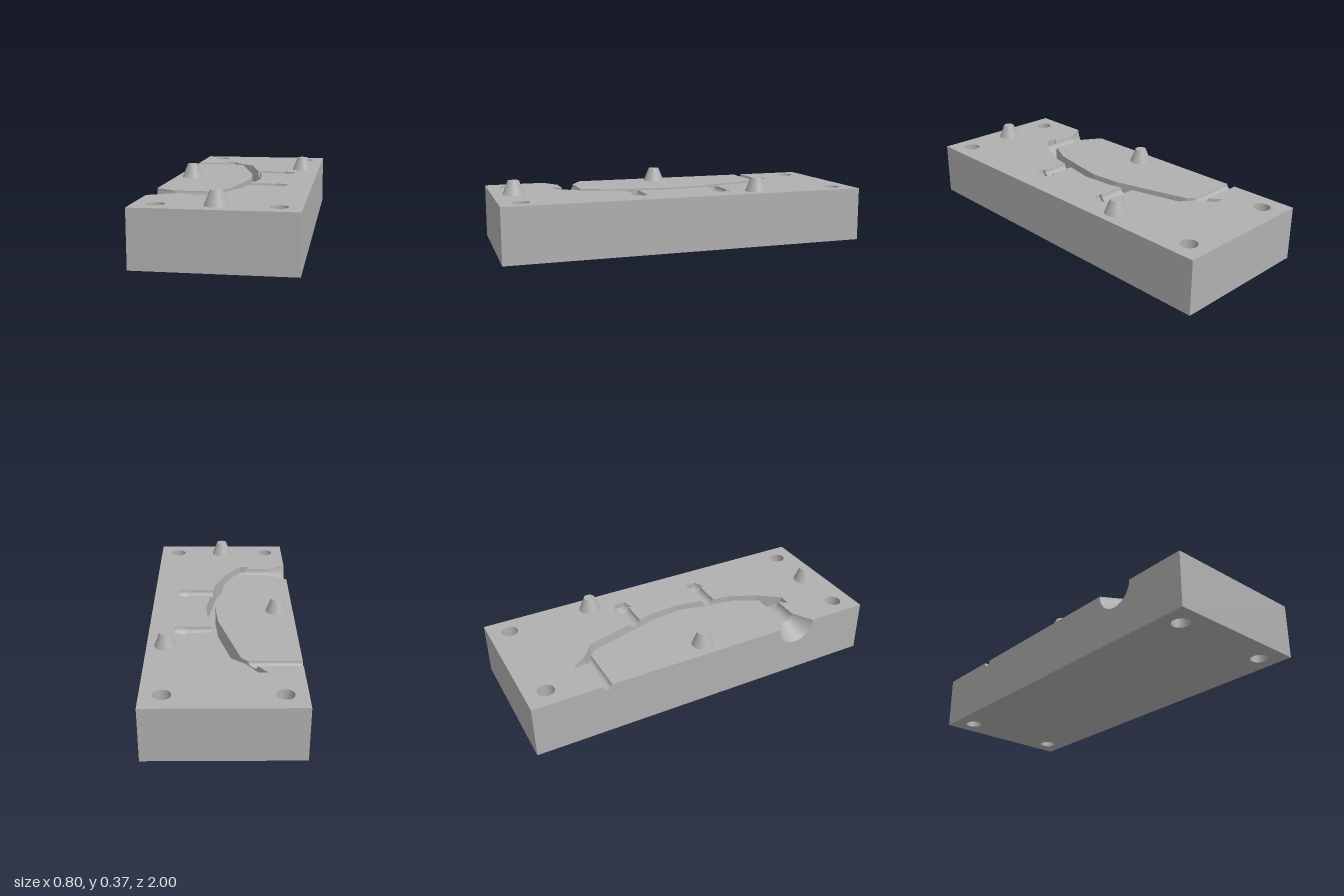
import * as THREE from 'three';

const H = 0.295, W = 0.4, L = 1;

// Curved cavity: left edge x, right edge x, z, depth below the parting face
const SECTIONS = [
  [-0.22, -0.17, -0.685, 0.01], [-0.15, -0.11, -0.6, 0.06], [-0.09, -0.03, -0.54, 0.1],
  [0.026, 0.08, -0.13, 0.1], [0.042, 0.095, 0.04, 0.1], [-0.016, 0.037, 0.37, 0.1],
  [-0.09, -0.03, 0.52, 0.1], [-0.185, -0.116, 0.64, 0.04],
];
const INNER = 0, OUTER = 1, DEPTH = 3;
const GATE = { z: 0.55, r: 0.045 }, VENT = { z: -0.6, r: 0.025 };
const PINS = [{ z: -0.235, r: 0.033 }, { z: 0.24, r: 0.033 }];
const BOLTS = [[-0.29, -0.885], [0.29, -0.885], [-0.29, 0.885], [0.29, 0.885]];
const BOLT_R = 0.045;

// Interpolates one column of the cavity table along z
function at(col, z) {
  let i = 0;
  while (i < SECTIONS.length - 2 && z > SECTIONS[i + 1][2]) i++;
  const a = SECTIONS[i], b = SECTIONS[i + 1];
  return a[col] + (b[col] - a[col]) * (z - a[2]) / (b[2] - a[2]);
}

// Flat-faced band between two rows of points
function ribbon(a, b) {
  const p = [];
  for (let i = 0; i < a.length - 1; i++) {
    p.push(...a[i], ...a[i + 1], ...b[i + 1], ...a[i], ...b[i + 1], ...b[i]);
  }
  const g = new THREE.BufferGeometry();
  g.setAttribute('position', new THREE.Float32BufferAttribute(p, 3));
  g.computeVertexNormals();
  return g;
}

function flatShape(points, sign, holes) {
  const shape = new THREE.Shape(points.map(([x, z]) => new THREE.Vector2(x, z * sign)));
  for (const [x, z] of holes) {
    shape.holes.push(new THREE.Path().absarc(x, z * sign, BOLT_R, 0, Math.PI * 2, true));
  }
  return new THREE.ShapeGeometry(shape, 24).rotateX(sign * Math.PI / 2);
}

// Half-round groove segment along x; the ring at x = snap follows a cavity edge
function groove(x0, r0, x1, r1, z, snap, col) {
  const g = new THREE.LatheGeometry(
    [new THREE.Vector2(r0, x0), new THREE.Vector2(r1, x1)], 24, 0, Math.PI);
  g.rotateZ(-Math.PI / 2).translate(0, H, z);
  if (snap !== undefined) {
    const p = g.attributes.position;
    for (let i = 0; i < p.count; i++) {
      if (Math.abs(p.getX(i) - snap) < 1e-5) p.setX(i, at(col, p.getZ(i)));
    }
  }
  return g;
}

// Cavity side wall with half-round openings where grooves enter
function cavityWall(col, mouths) {
  const zs = SECTIONS.map((s) => s[2]);
  for (const m of mouths) {
    for (let k = 0; k <= 16; k++) zs.push(m.z + m.r * Math.cos(k * Math.PI / 16));
  }
  zs.sort((a, b) => a - b);
  const top = [], bottom = [];
  for (const z of zs) {
    const floor = H - at(DEPTH, z);
    let y = H;
    for (const m of mouths) y -= Math.sqrt(Math.max(0, m.r ** 2 - (z - m.z) ** 2));
    top.push([at(col, z), Math.max(y, floor), z]);
    bottom.push([at(col, z), floor, z]);
  }
  return ribbon(bottom, top);
}

export function createModel() {
  const model = new THREE.Group();
  model.name = 'mouldHalf';
  const grey = new THREE.MeshStandardMaterial({ color: 0xb0b0b0, side: THREE.DoubleSide });
  grey.name = 'grey';
  const add = (name, geometry) => {
    const mesh = new THREE.Mesh(geometry, grey);
    mesh.name = name;
    model.add(mesh);
    return mesh;
  };

  // Parting face outside the cavity
  const pt = (col, i) => [SECTIONS[i][col], SECTIONS[i][2]];
  const edge = (col, z) => [at(col, z), z];
  const right = SECTIONS.map((s, i) => pt(OUTER, i));
  for (const { z, r } of PINS) {
    right.push(edge(OUTER, z - r), [0.205, z - r + 1e-5], [0.205, z - 0.052 + 2e-5]);
    right.push([0.265, z - 0.03], [0.265, z + 0.03]);
    right.push([0.205, z + 0.052], [0.205, z + r], edge(OUTER, z + r));
  }
  // Keep each pin outline in order while walking along the cavity edge
  const edgePoints = SECTIONS.map((s, i) => ({ z: s[2], pts: [pt(OUTER, i)] }));
  PINS.forEach(({ z }, i) => edgePoints.push({ z, pts: right.slice(8 + i * 8, 16 + i * 8) }));
  edgePoints.sort((a, b) => a.z - b.z);
  const walk = edgePoints.flatMap((e) => e.pts).reverse();
  const outside = [
    [-W, -L], [W, -L], [W, L], [-W, L], [-W, 0.66], [-0.29, GATE.z + GATE.r],
    edge(INNER, GATE.z + GATE.r), pt(INNER, 7), ...walk, pt(INNER, 0),
    edge(INNER, VENT.z - VENT.r), [-W, VENT.z - VENT.r],
  ];
  add('partingFace', flatShape(outside, -1, BOLTS)).position.y = H;

  // Raised face between cavity, vent and gate
  const island = [
    [-W, VENT.z + VENT.r], edge(INNER, VENT.z + VENT.r),
    ...[2, 3, 4, 5].map((i) => pt(INNER, i)),
    edge(INNER, GATE.z - GATE.r), [-0.29, GATE.z - GATE.r], [-W, 0.44],
  ];
  add('innerFace', flatShape(island, -1, [])).position.y = H;

  // Underside and plain block sides
  add('underside', flatShape([[-W, -L], [W, -L], [W, L], [-W, L]], 1, BOLTS));
  const rim = [[-W, L], [W, L], [W, -L], [-W, -L]];
  add('blockSides', ribbon(rim.map(([x, z]) => [x, 0, z]), rim.map(([x, z]) => [x, H, z])));

  // Side with the gate and vent openings
  const side = [[-L, 0], [L, 0], [L, H]];
  for (const [z, r] of [[GATE.z, 0.11], [VENT.z, VENT.r]]) {
    for (let k = 0; k <= 24; k++) {
      const a = k * Math.PI / 24;
      side.push([z + r * Math.cos(a), H - r * Math.sin(a)]);
    }
  }
  side.push([-L, H]);
  const sideShape = new THREE.Shape(side.map(([z, y]) => new THREE.Vector2(z, y)));
  add('openSide', new THREE.ShapeGeometry(sideShape).rotateY(-Math.PI / 2).translate(-W, 0, 0));

  // Curved cavity: walls, floor and ends
  add('cavityInnerWall', cavityWall(INNER, [GATE, VENT]));
  add('cavityOuterWall', cavityWall(OUTER, PINS));
  const row = (col) => SECTIONS.map((s) => [s[col], H - s[DEPTH], s[2]]);
  add('cavityFloor', ribbon(row(INNER), row(OUTER)));
  for (const s of [SECTIONS[0], SECTIONS[7]]) {
    add('cavityEnd', ribbon(
      [[s[0], H - s[3], s[2]], [s[1], H - s[3], s[2]]], [[s[0], H, s[2]], [s[1], H, s[2]]]));
  }

  // Pouring gate and vent
  add('gateFunnel', groove(-W, 0.11, -0.29, GATE.r, GATE.z));
  add('gateChannel', groove(-0.29, GATE.r, -0.1, GATE.r, GATE.z, -0.1, INNER));
  add('ventChannel', groove(-W, VENT.r, -0.15, VENT.r, VENT.z, -0.15, INNER));

  // Pin recesses with flared heads
  for (const { z, r } of PINS) {
    add('pinChannel', groove(0.05, r, 0.205, r, z, 0.05, OUTER));
    add('pinShoulder', groove(0.205, r, 0.205, 0.052, z));
    add('pinHead', groove(0.205, 0.052, 0.265, 0.03, z));
    add('pinTip', groove(0.265, 0.03, 0.265, 0, z));
  }

  // Bolt hole walls
  for (const [x, z] of BOLTS) {
    add('boltHole', new THREE.CylinderGeometry(BOLT_R, BOLT_R, H, 48, 1, true))
      .position.set(x, H / 2, z);
  }

  // Tapered locating dowels
  for (const [x, z] of [[0.3, -0.405], [-0.305, 0], [0, 0.885]]) {
    add('dowel', new THREE.CylinderGeometry(0.03, 0.06, 0.075, 40))
      .position.set(x, H + 0.0375, z);
  }
  return model;
}
